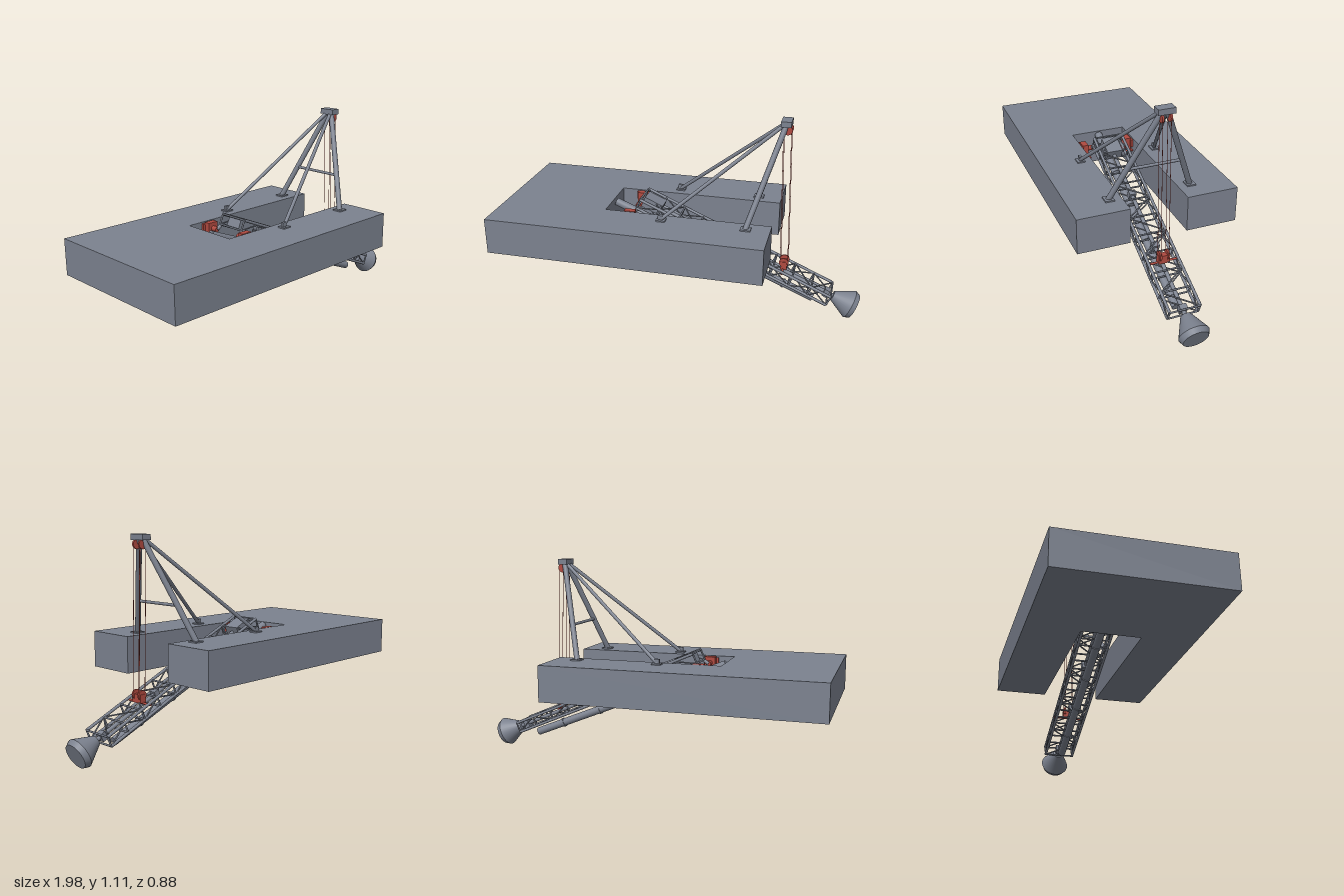
import * as THREE from 'three';

const V = (x, y, z) => new THREE.Vector3(x, y, z);

export function createModel() {
  const steel = new THREE.MeshStandardMaterial({ color: 0x7c828f });
  steel.name = 'steel grey';
  const red = new THREE.MeshStandardMaterial({ color: 0xb04a40 });
  red.name = 'machinery red';

  const model = new THREE.Group();
  model.name = 'dredger';

  const add = (parent, geometry, material, name, x = 0, y = 0, z = 0) => {
    const mesh = new THREE.Mesh(geometry, material);
    mesh.name = name;
    mesh.position.set(x, y, z);
    parent.add(mesh);
    return mesh;
  };
  const box = (parent, name, mat, size, x, y, z) =>
    add(parent, new THREE.BoxGeometry(...size), mat, name, x, y, z);
  // round bar between two points, r2 being the radius at b
  const bar = (parent, name, mat, a, b, r, r2 = r, sides = 12) => {
    const mesh = add(parent, new THREE.CylinderGeometry(r2, r, a.distanceTo(b), sides), mat, name);
    mesh.position.copy(a).lerp(b, 0.5);
    mesh.quaternion.setFromUnitVectors(V(0, 1, 0), b.clone().sub(a).normalize());
    return mesh;
  };

  // hull: flat pontoon with an open well at the bow
  const outline = new THREE.Shape([
    [-1, -0.44], [0.5, -0.44], [0.5, -0.157], [-0.415, -0.157],
    [-0.415, 0.157], [0.5, 0.157], [0.5, 0.44], [-1, 0.44],
  ].map(([x, y]) => new THREE.Vector2(x, y)));
  const hull = new THREE.ExtrudeGeometry(outline, { depth: 0.197, bevelEnabled: false });
  hull.rotateX(-Math.PI / 2);
  add(model, hull, steel, 'hull', 0, 0.382, 0);

  // ladder: local x runs down the boom, origin at the cutter end
  const ladder = new THREE.Group();
  ladder.name = 'ladder';
  ladder.position.set(0.817, 0.132, 0);
  ladder.rotation.z = -THREE.MathUtils.degToRad(23.5);
  model.add(ladder);
  const L = 1.165, H = 0.028, W = 0.083, bays = 10, step = L / bays;
  for (const y of [-H, H]) for (const z of [-W, W])
    bar(ladder, 'ladderChord', steel, V(-L, y, z), V(0, y, z), 0.008);
  for (let i = 0; i <= bays; i++) {
    const x = -L + i * step, s = i % 2 ? 1 : -1;
    for (const y of [-H, H]) {
      bar(ladder, 'ladderCrossbar', steel, V(x, y, -W), V(x, y, W), 0.005, 0.005, 8);
      if (i < bays)
        bar(ladder, 'ladderLacing', steel, V(x, y, s * W), V(x + step, y, -s * W), 0.004, 0.004, 8);
    }
    for (const z of [-W, W]) {
      bar(ladder, 'ladderPost', steel, V(x, -H, z), V(x, H, z), 0.005, 0.005, 8);
      if (i < bays)
        bar(ladder, 'ladderDiagonal', steel, V(x, s * H, z), V(x + step, -s * H, z), 0.004, 0.004, 8);
    }
  }

  // cutter drive and head
  box(ladder, 'cutterMotor', steel, [0.11, 0.06, 0.09], -1.095, 0.006, 0);
  bar(ladder, 'cutterShaft', steel, V(-1.05, 0, 0), V(0.03, 0, 0), 0.011);
  for (const x of [-0.75, -0.4, -0.02])
    box(ladder, 'shaftBearing', steel, [0.03, 0.045, 0.04], x, 0, 0);
  bar(ladder, 'cutterCone', steel, V(0.02, 0, 0), V(0.125, 0, 0), 0.028, 0.081, 32);
  bar(ladder, 'cutterRim', steel, V(0.125, 0, 0), V(0.153, 0, 0), 0.081, 0.068, 32);

  // suction pipe slung under the ladder
  const pipeA = V(-0.405, 0.562, 0), pipeB = V(0.725, 0.097, 0);
  bar(model, 'suctionPipe', steel, pipeA, pipeB, 0.022, 0.022, 24);
  for (const t of [0.25, 0.45, 0.65, 0.85])
    bar(model, 'pipeFlange', steel, pipeA.clone().lerp(pipeB, t),
      pipeA.clone().lerp(pipeB, t + 0.008), 0.026, 0.026, 24);

  // ladder hinges in the well
  for (const s of [-1, 1]) {
    box(model, 'hingeBracket', red, [0.06, 0.078, 0.034], -0.285, 0.539, s * 0.131);
    box(model, 'hingeFoot', red, [0.085, 0.008, 0.054], -0.285, 0.501, s * 0.13);
    box(model, 'hingeBackPlate', red, [0.085, 0.045, 0.012], -0.285, 0.548, s * 0.151);
    bar(model, 'hingePin', red, V(-0.285, 0.545, s * 0.08), V(-0.285, 0.545, s * 0.12), 0.014, 0.014, 16);
    bar(model, 'hingeArm', steel, V(-0.285, 0.545, s * 0.083), V(-0.255, 0.565, s * 0.083), 0.01);
  }

  // A-frame gantry with back stays
  for (const s of [-1, 1]) {
    bar(model, 'gantryLeg', steel, V(0.37, 0.58, s * 0.226), V(0.53, 1.09, s * 0.014), 0.015, 0.015, 16);
    bar(model, 'backStay', steel, V(-0.085, 0.585, s * 0.222), V(0.52, 1.09, s * 0.014), 0.01);
    box(model, 'legFootPlate', steel, [0.055, 0.008, 0.05], 0.372, 0.582, s * 0.226);
    box(model, 'stayFootPlate', steel, [0.05, 0.008, 0.045], -0.083, 0.582, s * 0.222);
    box(model, 'stayLug', steel, [0.025, 0.03, 0.016], -0.086, 0.594, s * 0.222);
  }
  bar(model, 'gantryCrossbeam', steel, V(0.427, 0.762, -0.147), V(0.427, 0.762, 0.147), 0.008);
  box(model, 'gantryHead', steel, [0.054, 0.03, 0.09], 0.532, 1.1, 0);

  // hoist sheaves and ropes
  for (const s of [-1, 1]) {
    const z = s * 0.022;
    bar(model, 'upperSheave', red, V(0.54, 1.065, z - 0.005), V(0.54, 1.065, z + 0.005), 0.025, 0.025, 24);
    bar(model, 'lowerSheave', red, V(0.558, 0.305, z - 0.005), V(0.558, 0.305, z + 0.005), 0.026, 0.026, 24);
    bar(model, 'hoistRope', red, V(0.517, 1.065, z), V(0.538, 0.305, z), 0.0015, 0.0015, 6);
    bar(model, 'hoistRope', red, V(0.558, 1.065, z), V(0.579, 0.305, z), 0.0015, 0.0015, 6);
  }
  box(model, 'lowerBlock', red, [0.035, 0.045, 0.062], 0.558, 0.288, 0);
  bar(model, 'liftingBeam', red, V(0.555, 0.265, -0.085), V(0.555, 0.265, 0.085), 0.006);

  return model;
}
